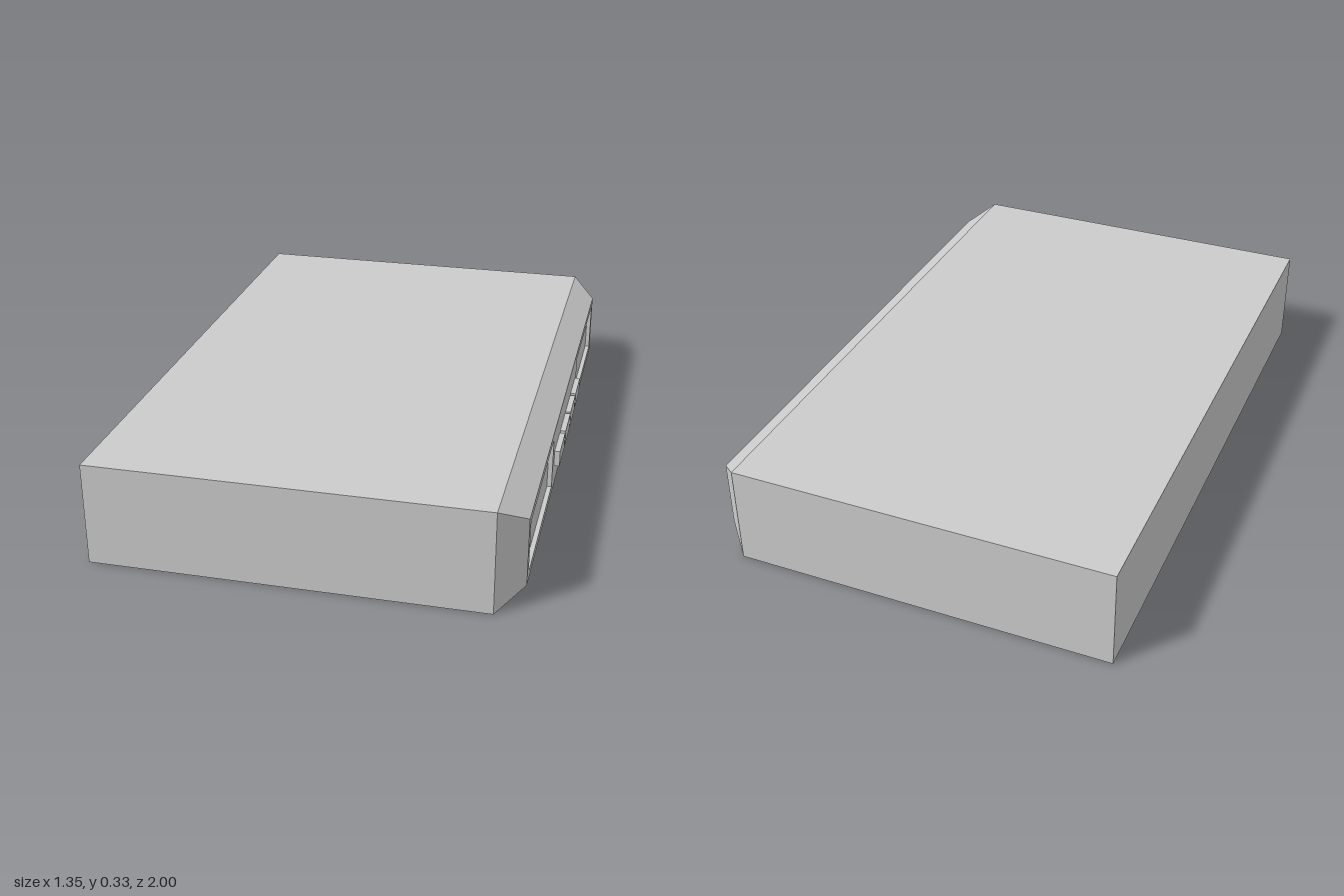
import * as THREE from 'three';

const BACK = -0.675, SHOULDER = 0.573, FACE = 0.655, TIP = 0.673;
const HEIGHT = 0.333, FACE_LOW = 0.058, FACE_HIGH = 0.277, FACE_HALF = 0.915;
const RECESS = 0.015;

export function createModel() {
  const model = new THREE.Group();
  const material = new THREE.MeshStandardMaterial({ color: 0xcccccc, flatShading: true });

  function add(name, geometry) {
    const mesh = new THREE.Mesh(geometry, material);
    mesh.name = name;
    model.add(mesh);
    return mesh;
  }

  // box given by its limits
  function block(x0, x1, y0, y1, z0, z1) {
    return new THREE.BoxGeometry(x1 - x0, y1 - y0, z1 - z0)
      .translate((x0 + x1) / 2, (y0 + y1) / 2, (z0 + z1) / 2);
  }

  // drop the leading box sides (+x, then -x) that are hidden inside the housing
  function openSides(geometry, count) {
    geometry.setIndex(Array.from(geometry.index.array).slice(6 * count));
    geometry.clearGroups();
    return geometry;
  }

  // rectangle outline in the plane of the face plate
  function rectangle(PathType, x0, x1, y0, y1) {
    return new PathType([[x0, y0], [x1, y0], [x1, y1], [x0, y1]].map(p => new THREE.Vector2(...p)));
  }

  // main case
  add('case', openSides(block(BACK, SHOULDER, 0, HEIGHT, -1, 1), 1));

  // sloping bezel, narrowing towards the control panel
  const bezel = openSides(block(SHOULDER, FACE, 0, HEIGHT, -1, 1), 2);
  const pos = bezel.attributes.position;
  for (let i = 0; i < pos.count; i++) {
    if (pos.getX(i) < FACE - 0.01) continue;
    pos.setY(i, pos.getY(i) > HEIGHT / 2 ? FACE_HIGH : FACE_LOW);
    pos.setZ(i, Math.sign(pos.getZ(i)) * FACE_HALF);
  }
  bezel.computeVertexNormals();
  add('bezel', bezel);

  // face plate with two rectangular openings
  const plate = rectangle(THREE.Shape, -FACE_HALF, FACE_HALF, FACE_LOW, FACE_HIGH);
  for (const side of [-1, 1]) {
    plate.holes.push(rectangle(THREE.Path, side * 0.345, side * 0.882, 0.084, 0.252));
  }
  const plateGeometry = new THREE.ExtrudeGeometry(plate, { depth: RECESS, bevelEnabled: false });
  plateGeometry.rotateY(Math.PI / 2).translate(FACE - RECESS, 0, 0);
  add('facePlate', plateGeometry);

  // sunken panels behind the openings
  for (const side of [-1, 1]) {
    const panel = block(FACE - 0.03, FACE - RECESS, 0.075, 0.26, -0.28, 0.28);
    add(side > 0 ? 'leftPanel' : 'rightPanel', panel).position.z = side * 0.6135;
  }

  // row of four push buttons
  for (const z of [-0.232, -0.075, 0.077, 0.234]) {
    add('button', block(FACE - 0.01, TIP, 0.14, 0.193, -0.07, 0.07)).position.z = z;
  }

  return model;
}
